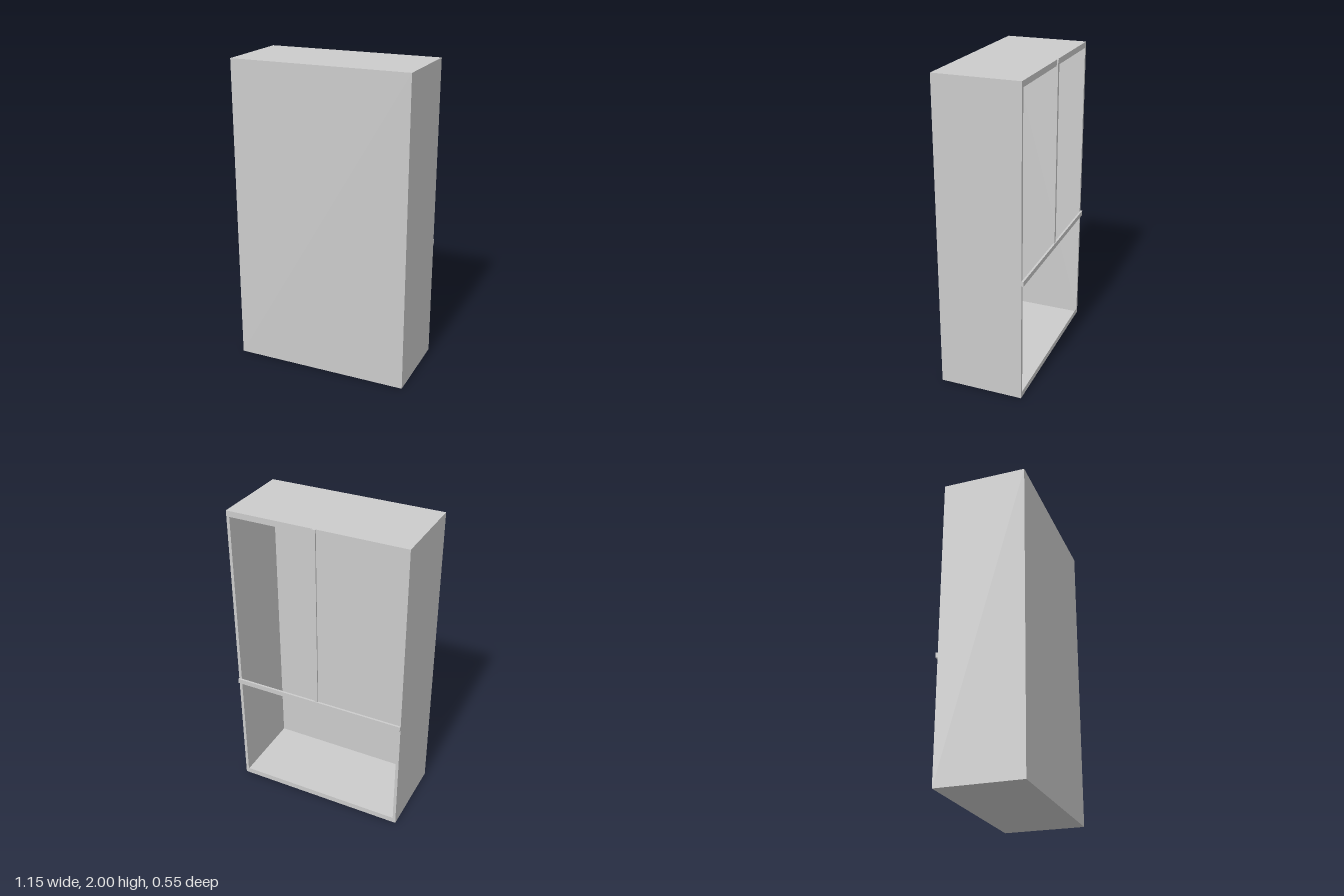
import * as THREE from 'three';

const W = 1.15, H = 2, FRONT = 0.277, BACK = -0.264;

export function createModel() {
  const group = new THREE.Group();
  const material = new THREE.MeshStandardMaterial({ color: 0xcccccc, side: THREE.DoubleSide });

  function add(name, geometry, x, y, z) {
    const mesh = new THREE.Mesh(geometry, material);
    mesh.name = name;
    mesh.position.set(x, y, z);
    group.add(mesh);
    return mesh;
  }

  // Thin-walled cabinet body, left open at the back (last box face dropped)
  const body = new THREE.BoxGeometry(W, H, FRONT - BACK);
  body.setIndex(Array.from(body.index.array).slice(0, 30));
  body.clearGroups();
  add('cabinetBody', body, 0, H / 2, (FRONT + BACK) / 2);

  // Flat rim around the opening
  const rectangle = (path, w, h) => path
    .moveTo(-w / 2, -h / 2).lineTo(w / 2, -h / 2)
    .lineTo(w / 2, h / 2).lineTo(-w / 2, h / 2).closePath();
  const rim = new THREE.Shape();
  rectangle(rim, W, H);
  const opening = new THREE.Path();
  rectangle(opening, W - 0.04, H - 0.074);
  rim.holes.push(opening);
  // turned so that its face looks out of the back
  add('openingRim', new THREE.ShapeGeometry(rim), 0, H / 2, BACK).rotation.y = Math.PI;

  // Horizontal rail across the opening
  add('crossRail', new THREE.BoxGeometry(W, 0.032, 0.013), 0, 0.799, BACK - 0.0065);

  // Upright strip dividing the upper opening
  const stripBottom = 0.815;
  add('centreStrip', new THREE.BoxGeometry(0.022, H - stripBottom, 0.009),
    0, (H + stripBottom) / 2, BACK - 0.0045);

  return group;
}
